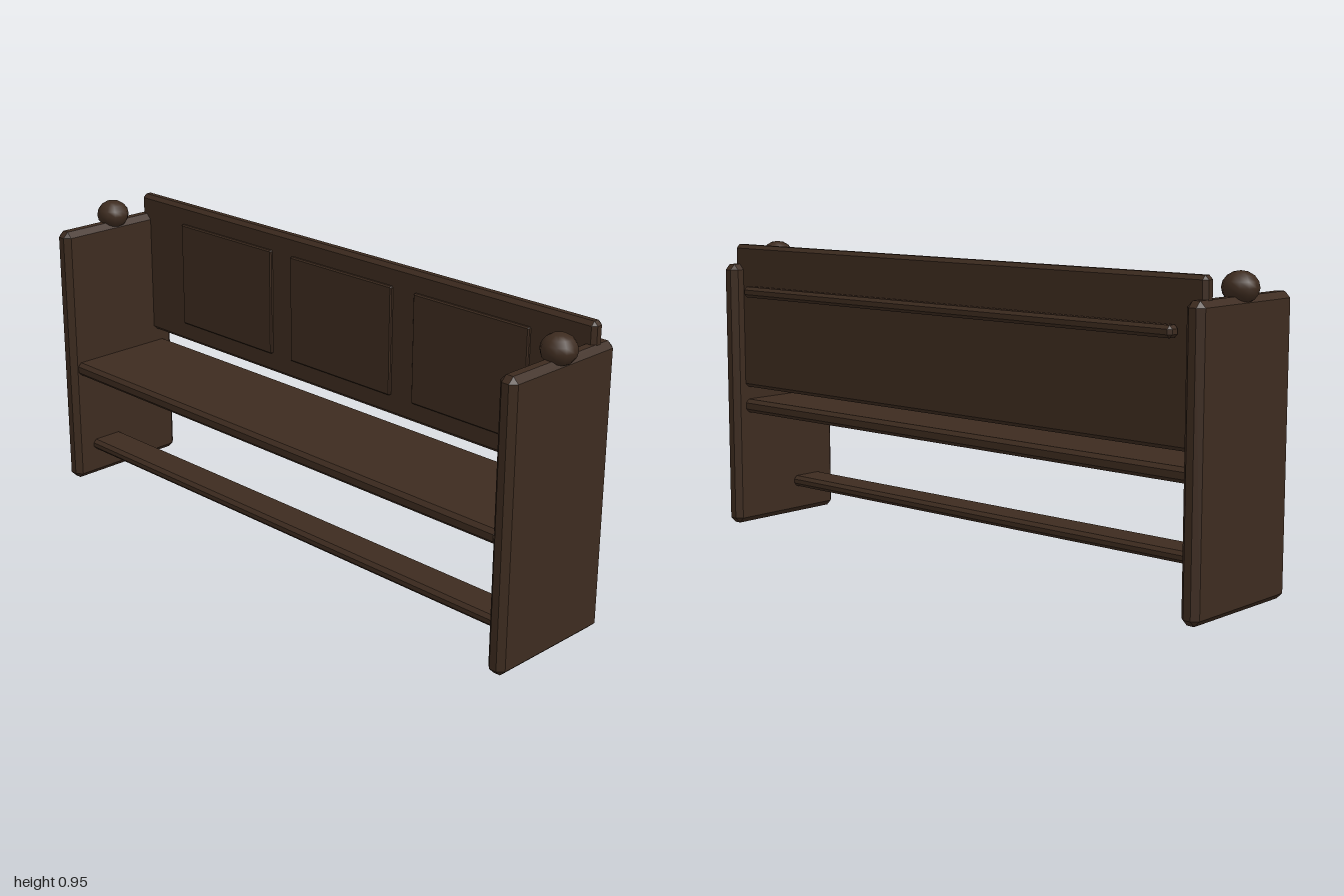
import * as THREE from 'three';
import { ConvexGeometry } from 'three/addons/geometries/ConvexGeometry.js';

const darkWood = new THREE.MeshStandardMaterial({ color: 0x3d2b1f });
darkWood.name = 'darkWood';

// Board between two corners with every edge chamfered by c
function board(name, [x0, x1], [y0, y1], [z0, z1], c) {
  const half = [(x1 - x0) / 2, (y1 - y0) / 2, (z1 - z0) / 2];
  const points = [];
  for (const sx of [-1, 1]) for (const sy of [-1, 1]) for (const sz of [-1, 1]) {
    for (let axis = 0; axis < 3; axis++) {
      const [px, py, pz] = half.map((h, i) => (i === axis ? h : h - c));
      points.push(new THREE.Vector3(sx * px, sy * py, sz * pz));
    }
  }
  const mesh = new THREE.Mesh(new ConvexGeometry(points), darkWood);
  mesh.name = name;
  mesh.position.set((x0 + x1) / 2, (y0 + y1) / 2, (z0 + z1) / 2);
  return mesh;
}

export function createModel() {
  const pew = new THREE.Group();
  pew.name = 'pew';

  // End panels with a slightly squashed ball finial on each
  for (const side of [-1, 1]) {
    const name = side > 0 ? 'left' : 'right';
    const end = board(name + 'EndPanel', [-0.03, 0.03], [0, 0.88], [-0.219, 0.219], 0.018);
    end.position.x = side * 0.946;
    const finial = new THREE.Mesh(new THREE.SphereGeometry(0.053, 12, 8), darkWood);
    finial.name = name + 'Finial';
    finial.scale.y = 0.88;
    finial.position.set(side * 0.947, 0.902, 0);
    pew.add(end, finial);
  }

  // Seat, backrest and rails
  pew.add(
    board('seat', [-0.925, 0.925], [0.38, 0.425], [-0.18, 0.2], 0.012),
    board('backrest', [-0.96, 0.96], [0.467, 0.945], [-0.178, -0.136], 0.012),
    board('bookRail', [-0.875, 0.875], [0.775, 0.81], [-0.218, -0.175], 0.01),
    board('footRail', [-0.925, 0.925], [0.095, 0.131], [0.03, 0.15], 0.011),
  );

  // Raised panels on the front of the backrest
  for (let i = -1; i <= 1; i++) {
    const x = i * 0.525;
    pew.add(board('raisedPanel', [x - 0.218, x + 0.218], [0.533, 0.881], [-0.145, -0.126], 0.004));
  }
  return pew;
}
